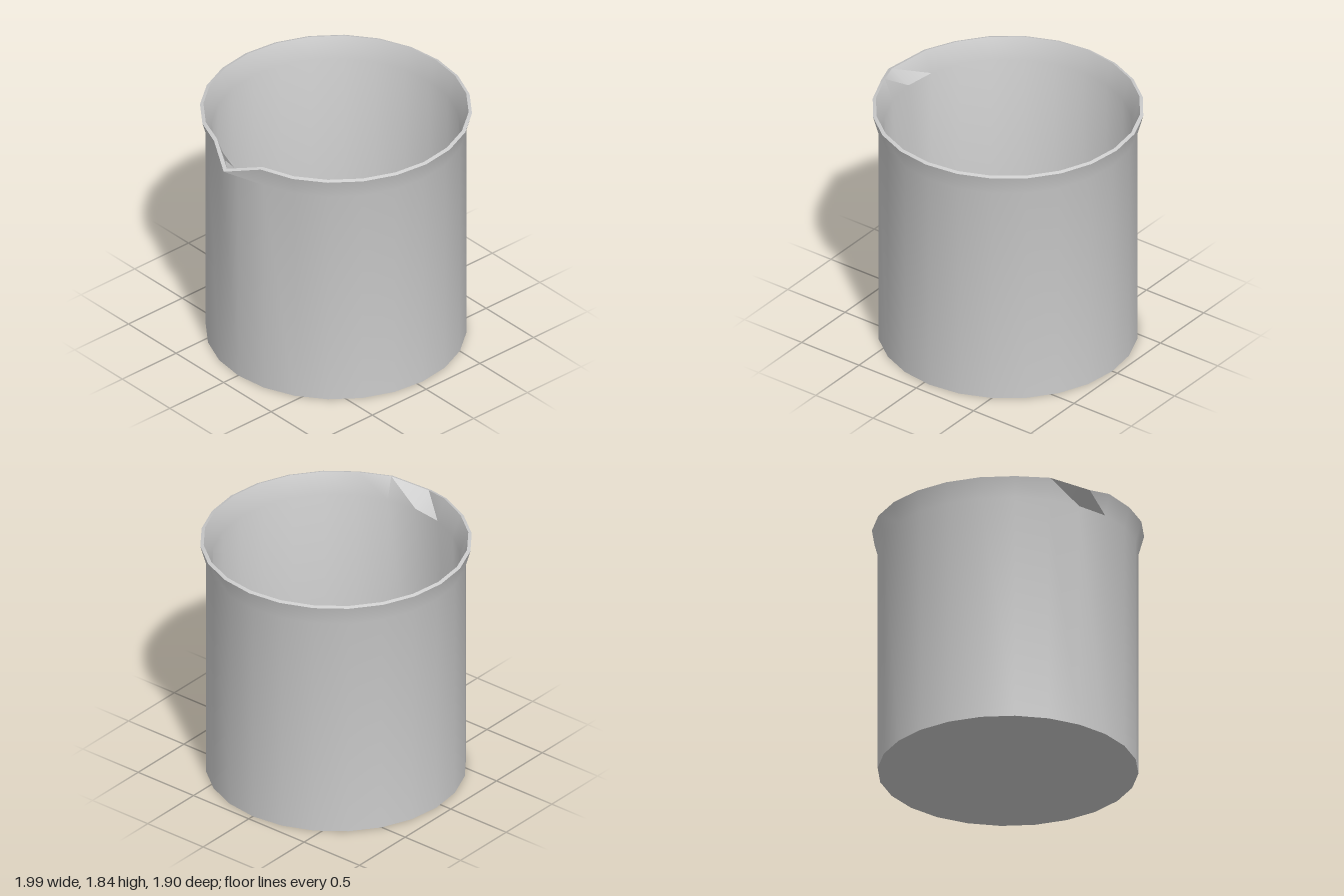
import * as THREE from 'three';
import { toCreasedNormals } from 'three/addons/utils/BufferGeometryUtils.js';

const SEGMENTS = 24;
const SPOUT = 18; // segment that points to -x

// Closed wall section: underside, outer wall, flared lip, inner wall, floor
const profile = [
  [0, 0], [0.91, 0], [0.91, 1.68],
  [0.95, 1.824], [0.926, 1.833],
  [0.868, 1.68], [0.868, 0.045], [0, 0.045],
].map(([r, y]) => new THREE.Vector2(r, y));
const LIP_OUTER = 3, LIP_INNER = 4;

export function createModel() {
  const group = new THREE.Group();
  group.name = 'beaker';
  const glass = new THREE.MeshStandardMaterial({ color: 0xcccccc });
  glass.name = 'pale grey';

  const lathe = new THREE.LatheGeometry(profile, SEGMENTS);
  const pos = lathe.attributes.position;
  const at = (segment, point) => segment * profile.length + point;

  // Pull the lip out and down into a pouring spout
  pos.setXYZ(at(SPOUT, LIP_OUTER), -1.045, 1.75, 0);
  pos.setXYZ(at(SPOUT, LIP_INNER), -1.015, 1.762, 0);

  // Raise the lip slightly on both sides of the spout
  for (const side of [-1, 1]) {
    for (const point of [LIP_OUTER, LIP_INNER]) {
      const i = at(SPOUT + side, point);
      pos.setY(i, pos.getY(i) + 0.008);
    }
  }

  lathe.deleteAttribute('uv');
  const vessel = new THREE.Mesh(toCreasedNormals(lathe, Math.PI * 0.22), glass);
  vessel.name = 'vessel';
  vessel.position.x = 0.046; // balances the spout
  group.add(vessel);
  return group;
}
